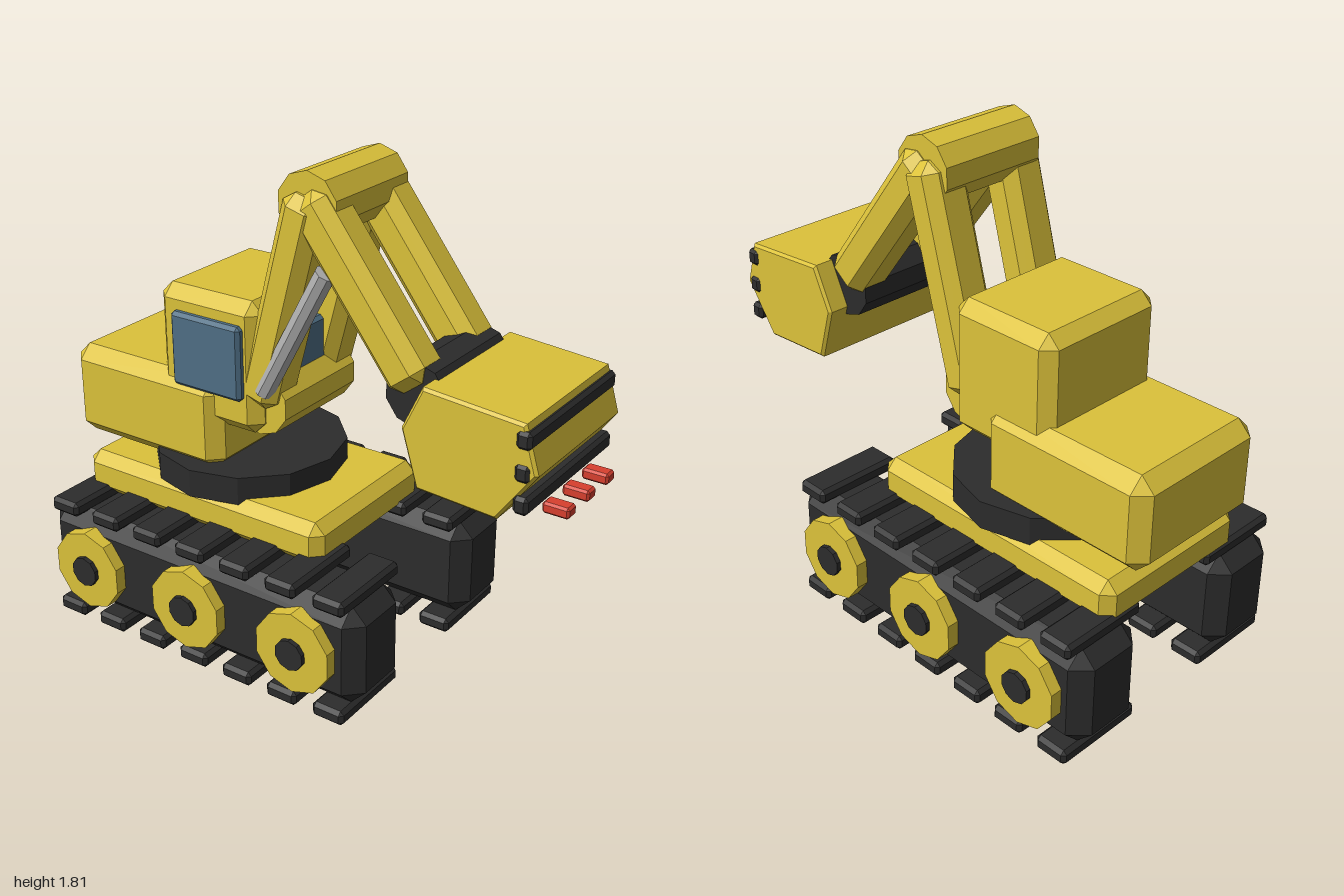
import * as THREE from 'three';
import { ConvexGeometry } from 'three/addons/geometries/ConvexGeometry.js';

const paint = (name, color) => {
  const m = new THREE.MeshStandardMaterial({ color });
  m.name = name;
  return m;
};

// Box with flat chamfers on every edge
function chamferBox(w, h, d, c) {
  const pts = [];
  for (const sx of [-1, 1]) for (const sy of [-1, 1]) for (const sz of [-1, 1]) {
    const x = w / 2, y = h / 2, z = d / 2;
    pts.push(
      new THREE.Vector3(sx * x, sy * (y - c), sz * (z - c)),
      new THREE.Vector3(sx * (x - c), sy * y, sz * (z - c)),
      new THREE.Vector3(sx * (x - c), sy * (y - c), sz * z));
  }
  return new ConvexGeometry(pts);
}

// Faceted cylinder with flat normals
function facetCylinder(r, length, sides) {
  const g = new THREE.CylinderGeometry(r, r, length, sides).toNonIndexed();
  g.computeVertexNormals();
  return g;
}

export function createModel() {
  const yellow = paint('yellow paint', 0xdcc23a);
  const black = paint('black rubber', 0x2c2c2c);
  const glass = paint('blue glass', 0x4f6f85);
  const steel = paint('grey steel', 0xb0b0b0);
  const red = paint('red teeth', 0xd8402f);

  const model = new THREE.Group();
  model.name = 'excavator';

  const add = (name, geometry, material, x = 0, y = 0, z = 0) => {
    const mesh = new THREE.Mesh(geometry, material);
    mesh.name = name;
    mesh.position.set(x, y, z);
    model.add(mesh);
    return mesh;
  };
  // Chamfered box given by its limits on each axis
  const block = (name, material, [x0, x1], [y0, y1], [z0, z1], c) =>
    add(name, chamferBox(x1 - x0, y1 - y0, z1 - z0, c), material,
      (x0 + x1) / 2, (y0 + y1) / 2, (z0 + z1) / 2);
  // Cylinder lying along z
  const axle = (name, material, r, length, sides, x, y, z) => {
    const mesh = add(name, facetCylinder(r, length, sides), material, x, y, z);
    mesh.rotation.x = Math.PI / 2;
    return mesh;
  };
  // Turn a part whose length is on y so that it spans two points in the xy plane
  const span = (name, geometry, material, [x0, y0], [x1, y1], z) => {
    const mesh = add(name, geometry, material, (x0 + x1) / 2, (y0 + y1) / 2, z);
    mesh.rotation.z = -Math.atan2(x1 - x0, y1 - y0);
    return mesh;
  };
  const distance = (a, b) => Math.hypot(b[0] - a[0], b[1] - a[1]);

  // Crawler tracks with tread bars and wheels
  for (const s of [-1, 1]) {
    add('track', chamferBox(1.405, 0.385, 0.3, 0.06), black, -0.268, 0.25, s * 0.35);
    for (let i = 0; i < 7; i++) {
      const x = -0.862 + i * 0.198;
      add('treadTop', chamferBox(0.128, 0.057, 0.35, 0.014), black, x, 0.459, s * 0.345);
      add('treadBottom', chamferBox(0.128, 0.057, 0.35, 0.014), black, x, 0.0295, s * 0.345);
    }
    for (const x of [-0.74, -0.27, 0.2]) {
      axle('wheel', yellow, 0.155, 0.06, 10, x, 0.245, s * 0.515);
      axle('wheelHub', black, 0.058, 0.05, 10, x, 0.245, s * 0.537);
    }
  }

  // Chassis and turntable
  block('chassis', yellow, [-0.92, 0.16], [0.44, 0.605], [-0.33, 0.33], 0.04);
  add('turntable', facetCylinder(0.36, 0.105, 12), black, -0.38, 0.637, 0);

  // Rear body and cab with two windows
  block('engineBody', yellow, [-1, -0.31], [0.652, 1.005], [-0.293, 0.288], 0.052);
  block('cab', yellow, [-0.587, -0.145], [0.833, 1.325], [-0.27, 0.26], 0.045);
  block('sideWindow', glass, [-0.503, -0.2], [0.967, 1.243], [0.24, 0.287], 0.013);
  block('frontWindow', glass, [-0.16, -0.105], [0.93, 1.2], [-0.16, 0.16], 0.013);

  // Pivots of the arm
  const base = [-0.175, 0.95], elbow = [0.038, 1.69], wrist = [0.46, 1.14];
  axle('basePivot', yellow, 0.12, 0.42, 10, ...base, 0);
  axle('elbowPivot', yellow, 0.12, 0.42, 10, ...elbow, 0);
  axle('wristPivot', black, 0.117, 0.42, 10, ...wrist, 0);

  // Paired boom and stick arms
  for (const s of [-1, 1]) {
    const boomTop = [0.036, 1.725], stickTop = [0.025, 1.725], stickEnd = [0.452, 1.165];
    span('boomArm', chamferBox(0.155, distance(base, boomTop), 0.18, 0.04), yellow,
      base, boomTop, s * 0.17);
    span('stickArm', chamferBox(0.165, distance(stickTop, stickEnd), 0.175, 0.04), yellow,
      stickTop, stickEnd, s * 0.166);
  }

  // Hydraulic piston beside the boom
  const low = [-0.135, 1.01], high = [0.125, 1.49];
  span('piston', facetCylinder(0.038, distance(low, high), 8), steel, low, high, 0.23);

  // Bucket: six-sided profile with a fine bevel
  const profile = [[0.465, 1.055], [0.536, 1.205], [0.888, 1.177], [0.934, 1.025],
    [0.805, 0.846], [0.522, 0.864]].map(p => new THREE.Vector2(...p)).reverse();
  const bucket = new THREE.ExtrudeGeometry(new THREE.Shape(profile), {
    depth: 0.56, bevelEnabled: true, bevelThickness: 0.01, bevelSize: 0.01, bevelSegments: 1,
  });
  add('bucket', bucket, yellow, 0, 0, -0.28);

  // Bucket bars and teeth
  for (const y of [1.133, 1.022, 0.912]) {
    add('bucketBar', chamferBox(0.054, 0.062, 0.6, 0.012), black, 0.893, y, 0);
  }
  for (const z of [-0.14, 0, 0.14]) {
    add('bucketTooth', chamferBox(0.095, 0.04, 0.056, 0.008), red, 0.9525, 0.857, z);
  }

  return model;
}
